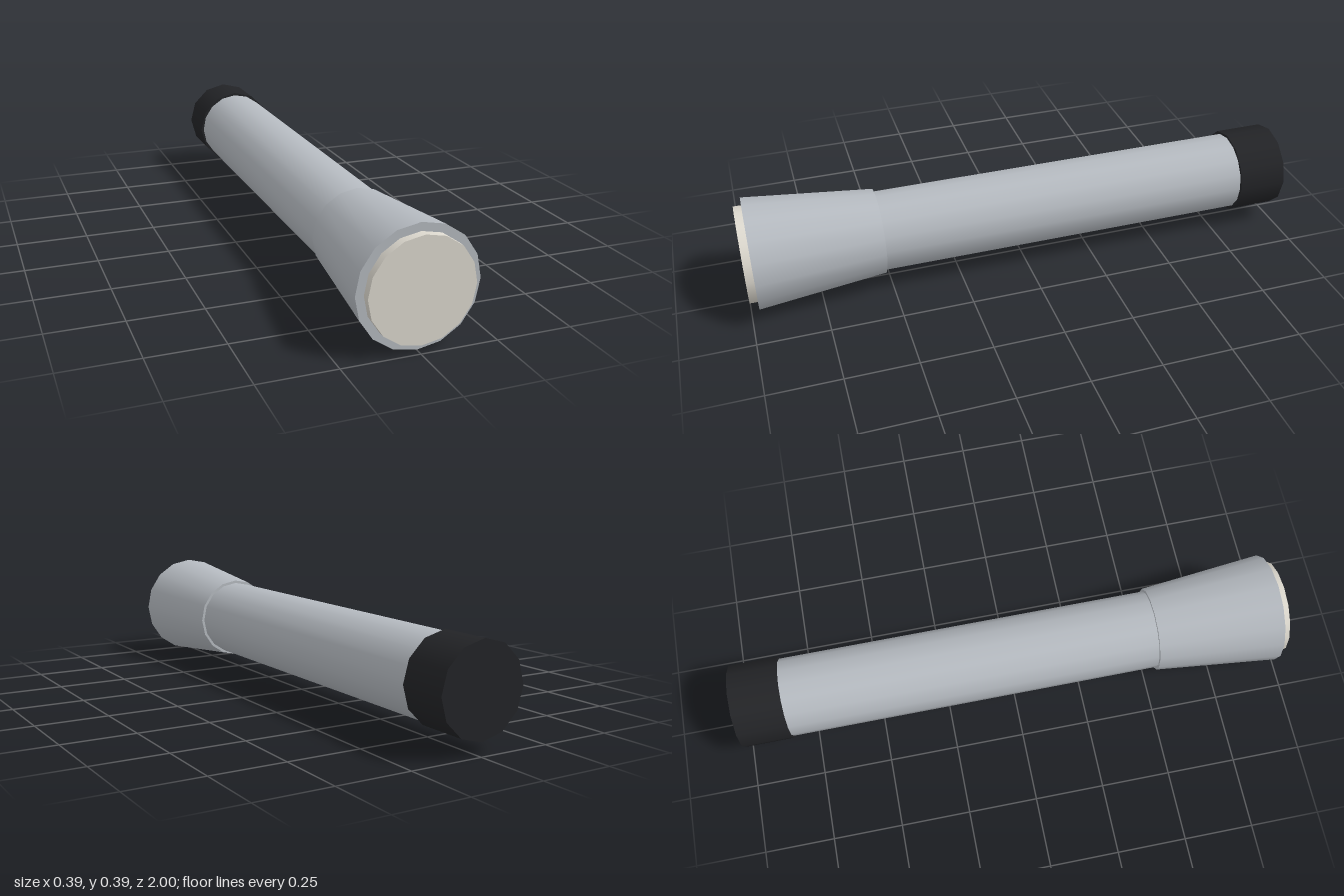
import * as THREE from 'three';

const AXIS_Y = 0.197;

// Round section along z, from zBack to zFront
function section(name, rBack, rFront, zBack, zFront, sides, color) {
  const geometry = new THREE.CylinderGeometry(rFront, rBack, zFront - zBack, sides);
  geometry.rotateX(Math.PI / 2);
  const mesh = new THREE.Mesh(geometry, new THREE.MeshStandardMaterial({ color }));
  mesh.name = name;
  mesh.position.set(0, AXIS_Y, (zBack + zFront) / 2);
  return mesh;
}

export function createModel() {
  const metal = 0xb4b9bf;
  const flashlight = new THREE.Group();
  flashlight.name = 'flashlight';
  flashlight.add(
    // Straight grip tube, running into the head and the cap
    section('barrel', 0.142, 0.142, -0.9, 0.6, 16, metal),
    // Flared head with a flat rim
    section('head', 0.152, 0.197, 0.525, 0.972, 16, metal),
    // Pale disc standing proud of the rim
    section('lens', 0.17, 0.17, 0.94, 1, 16, 0xdcd8ce),
    // Dark end cap
    section('tailCap', 0.152, 0.152, -1, -0.823, 12, 0x222326),
  );
  return flashlight;
}
